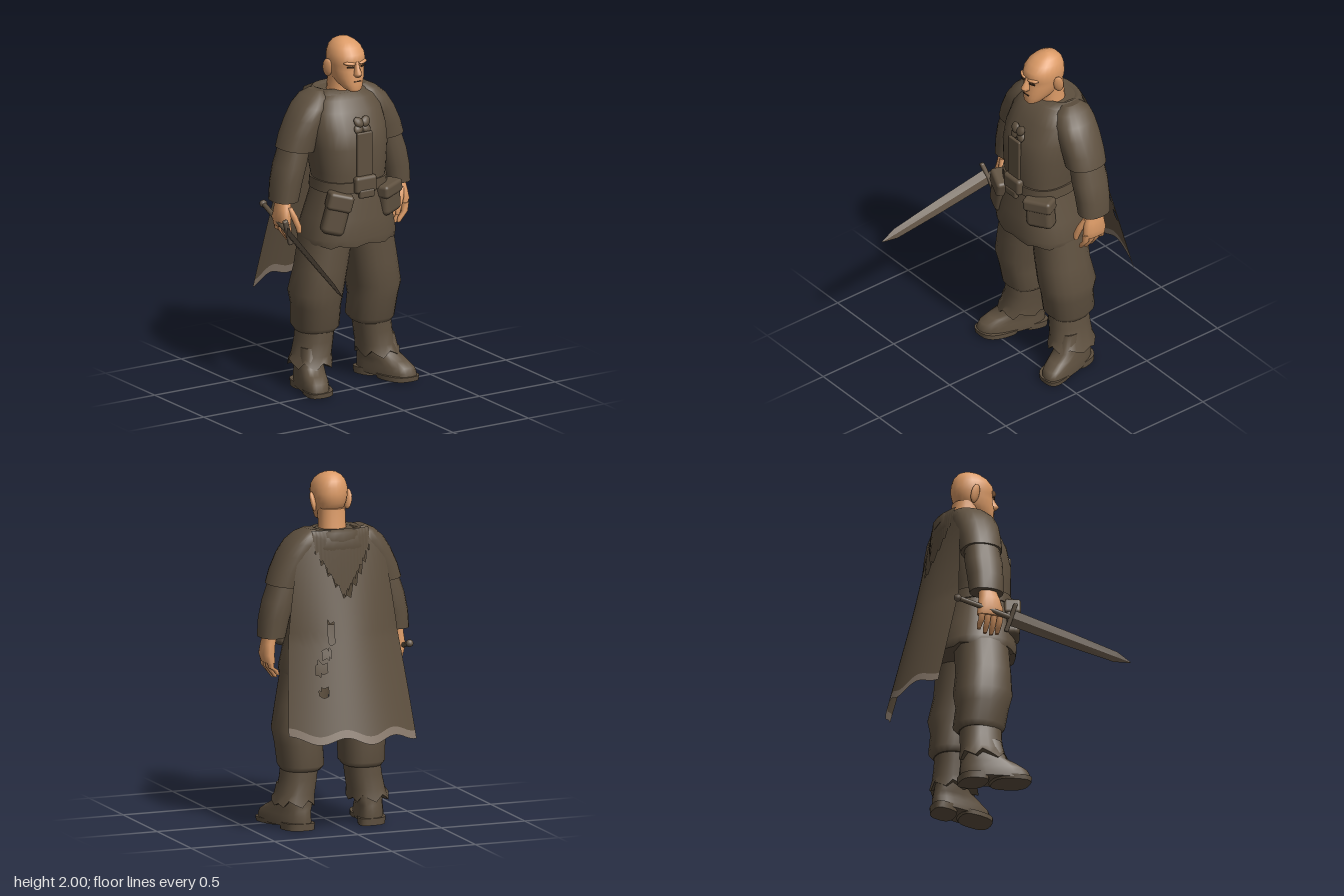
import * as THREE from 'three';
import { RoundedBoxGeometry } from 'three/addons/geometries/RoundedBoxGeometry.js';

const X0 = 0.03; // body centre line

const mat = (name, color) => {
  const m = new THREE.MeshStandardMaterial({ color });
  m.name = name;
  return m;
};

// Closed body from horizontal rings [y, centre x, half width, front z, back z], low to high.
// s places the centre on the left (+1) or right (-1) side of the body.
function loft(rings, { n = 20, p = 2.3, s = 1, skew = 0, tilt = 0, jag = 0, x0 = X0 } = {}) {
  const pos = [], idx = [];
  const ring = ([y, cx, rx, zf, zb], rag) => {
    const bow = v => Math.sign(v) * Math.abs(v) ** (2 / p);
    for (let j = 0; j < n; j++) {
      const a = (j / n) * Math.PI * 2;
      const dx = rx * bow(Math.cos(a)), dz = (zf - zb) / 2 * bow(Math.sin(a));
      pos.push(x0 + s * cx + dx + s * skew * dz, y + tilt * s * dx + (j % 3 - 1) * rag, (zf + zb) / 2 + dz);
    }
  };
  rings.forEach((r, i) => ring(r, i ? 0 : jag));
  for (let i = 0; i < rings.length - 1; i++) for (let j = 0; j < n; j++) {
    const a = i * n + j, b = i * n + (j + 1) % n;
    idx.push(a, a + n, b, b, a + n, b + n);
  }
  // end caps with their own corners
  [[rings[0], jag], [rings[rings.length - 1], 0]].forEach(([r, rag], top) => {
    const start = pos.length / 3;
    ring(r, rag);
    pos.push(x0 + s * r[1], r[0], (r[3] + r[4]) / 2);
    for (let j = 0; j < n; j++) {
      const a = start + j, b = start + (j + 1) % n;
      idx.push(start + n, ...(top ? [b, a] : [a, b]));
    }
  });
  return finish(pos, idx);
}

// Open cloth from fn(u, v) with u in -1..1 and v in 0..1; cells may be left out
function sheet(fn, nu, nv, hole = () => false) {
  const pos = [], idx = [];
  for (let i = 0; i <= nv; i++) for (let j = 0; j <= nu; j++) pos.push(...fn(j / nu * 2 - 1, i / nv));
  for (let i = 0; i < nv; i++) for (let j = 0; j < nu; j++) {
    const u = (j + 0.5) / nu * 2 - 1;
    if (hole(u, fn(u, (i + 0.5) / nv)[1])) continue;
    const a = i * (nu + 1) + j, b = a + nu + 1;
    idx.push(a, a + 1, b, b, a + 1, b + 1);
  }
  return finish(pos, idx);
}

function finish(pos, idx) {
  const g = new THREE.BufferGeometry();
  g.setAttribute('position', new THREE.Float32BufferAttribute(pos, 3));
  g.setIndex(idx);
  g.computeVertexNormals();
  return g;
}

export function createModel() {
  const cloth = mat('cloth', 0x5e503f), skin = mat('skin', 0xdb9a66);
  const trim = mat('hem', 0x87786a), steel = mat('steel', 0x665849), dark = mat('dark', 0x4a3424);
  cloth.side = trim.side = THREE.DoubleSide;
  const model = new THREE.Group();
  const add = (name, geo, m, at = [0, 0, 0], rot = [0, 0, 0], parent = model) => {
    const mesh = new THREE.Mesh(geo, m);
    mesh.name = name;
    mesh.position.set(...at);
    mesh.rotation.set(...rot);
    parent.add(mesh);
    return mesh;
  };

  // Tunic, belt and collar
  add('tunic', loft([
    [0.85, 0, 0.27, 0.08, -0.35], [0.89, 0, 0.278, 0.085, -0.36], [1.0, 0, 0.25, 0.08, -0.33],
    [1.16, 0, 0.205, 0.055, -0.29], [1.2, 0, 0.2, 0.055, -0.29], [1.26, 0, 0.21, 0.06, -0.3],
    [1.4, 0, 0.225, 0.06, -0.33], [1.5, 0, 0.23, 0.035, -0.35], [1.6, 0, 0.22, -0.015, -0.36],
    [1.66, 0, 0.185, -0.055, -0.355], [1.69, 0, 0.13, -0.1, -0.34]], { n: 32, p: 2.5, jag: 0.008 }), cloth);
  add('belt', loft([[1.155, 0, 0.215, 0.065, -0.3], [1.215, 0, 0.212, 0.065, -0.3]], { n: 32, p: 2.5 }), cloth);
  add('collar', loft([[1.64, 0, 0.18, -0.05, -0.36], [1.685, 0, 0.155, -0.09, -0.36],
    [1.705, 0, 0.13, -0.14, -0.345], [1.68, 0, 0.1, -0.12, -0.31]], { n: 24, jag: 0.006 }), cloth);
  add('chestStrap', new RoundedBoxGeometry(0.1, 0.28, 0.02, 2, 0.008), cloth, [0.025, 1.36, 0.06]);
  add('buckle', new RoundedBoxGeometry(0.14, 0.1, 0.05, 2, 0.02), cloth, [0.025, 1.2, 0.065]);
  add('buckleFlap', new RoundedBoxGeometry(0.1, 0.05, 0.03, 2, 0.012), cloth, [0.025, 1.15, 0.08]);
  for (let k = 0; k < 4; k++) {
    const a = Math.PI / 4 + k * Math.PI / 2;
    const lobe = add('claspLobe', new THREE.SphereGeometry(0.034, 10, 8), cloth,
      [0.025 + 0.032 * Math.cos(a), 1.535 + 0.027 * Math.sin(a), 0.035], [-0.45, 0, a]);
    lobe.scale.set(1, 0.8, 0.45);
  }

  // Belt pouches
  const pouch = (name, w, h, at, rot) => {
    const g = new THREE.Group();
    g.name = name;
    g.position.set(...at);
    g.rotation.set(...rot);
    model.add(g);
    add('pouchBody', new RoundedBoxGeometry(w, h, 0.09, 3, 0.03), cloth, [0, 0, 0], [0, 0, 0], g);
    add('pouchFlap', new RoundedBoxGeometry(w + 0.012, h * 0.42, 0.1, 3, 0.02), cloth, [0, h * 0.3, 0.003], [0, 0, 0], g);
  };
  pouch('leftPouch', 0.16, 0.18, [0.205, 1.085, 0.02], [0, 0.45, 0.08]);
  pouch('rightPouch', 0.13, 0.24, [-0.14, 1.045, 0.025], [0, -0.35, -0.26]);

  // Limbs, mirrored
  for (const s of [1, -1]) {
    const side = s > 0 ? 'left' : 'right';
    add(side + 'ShoulderSleeve', loft([
      [1.385, 0.295, 0.1, -0.09, -0.32], [1.46, 0.27, 0.102, -0.085, -0.325], [1.55, 0.225, 0.105, -0.08, -0.33],
      [1.62, 0.185, 0.1, -0.09, -0.33], [1.67, 0.155, 0.075, -0.12, -0.32], [1.7, 0.14, 0.035, -0.17, -0.28]],
      { s, tilt: 0.12 }), cloth);
    add(side + 'ForearmSleeve', loft([
      [1.1, 0.37, 0.074, -0.11, -0.3], [1.2, 0.355, 0.083, -0.105, -0.305], [1.3, 0.33, 0.086, -0.1, -0.31],
      [1.45, 0.285, 0.08, -0.11, -0.3]], { s, n: 16 }), cloth);
    add(side + 'Palm', loft([
      [0.955, 0.385, 0.03, -0.125, -0.265], [1.0, 0.392, 0.036, -0.115, -0.265],
      [1.06, 0.385, 0.036, -0.13, -0.255], [1.14, 0.37, 0.04, -0.16, -0.25]], { s, n: 14 }), skin);
    for (let f = 0; f < 4; f++) {
      const z = -0.132 - f * 0.036, low = 0.862 + [0.01, 0, 0.005, 0.025][f];
      add(side + 'Finger', loft([
        [low, 0.345, 0.01, z + 0.01, z - 0.01], [low + 0.025, 0.358, 0.016, z + 0.016, z - 0.016],
        [0.93, 0.385, 0.017, z + 0.018, z - 0.018], [0.98, 0.39, 0.02, z + 0.019, z - 0.019]], { s, n: 8 }), skin);
    }
    add(side + 'Thumb', loft([
      [0.925, 0.325, 0.012, -0.1, -0.125], [0.96, 0.33, 0.018, -0.095, -0.135],
      [1.02, 0.352, 0.02, -0.105, -0.15], [1.07, 0.37, 0.02, -0.13, -0.18]], { s, n: 8 }), skin);

    add(side + 'Trouser', loft([
      [0.33, 0.185, 0.105, -0.055, -0.29], [0.36, 0.182, 0.126, -0.03, -0.32], [0.48, 0.188, 0.13, -0.01, -0.305],
      [0.56, 0.19, 0.143, 0.01, -0.32], [0.7, 0.165, 0.142, 0.012, -0.295], [0.9, 0.13, 0.142, 0.01, -0.29]], { s }), cloth);
    add(side + 'Cuff', loft([
      [0.15, 0.222, 0.113, -0.025, -0.3], [0.2, 0.21, 0.102, -0.045, -0.29], [0.28, 0.195, 0.1, -0.05, -0.285],
      [0.37, 0.185, 0.1, -0.05, -0.285]], { s, jag: 0.02 }), cloth);
    add(side + 'Boot', loft([
      [0.02, 0.25, 0.083, 0.08, -0.295], [0.05, 0.25, 0.084, 0.08, -0.295], [0.08, 0.248, 0.08, 0.065, -0.295],
      [0.11, 0.24, 0.078, 0.015, -0.29], [0.14, 0.228, 0.08, -0.045, -0.285], [0.25, 0.215, 0.078, -0.07, -0.28]],
      { s, skew: 0.25, p: 2.6 }), cloth);
    add(side + 'Sole', loft([[0.008, 0.265, 0.085, 0.085, -0.12], [0.035, 0.265, 0.088, 0.088, -0.14]],
      { s, skew: 0.25, p: 2.8 }), cloth);
    add(side + 'Heel', loft([[0, 0.222, 0.08, -0.15, -0.3], [0.04, 0.222, 0.083, -0.15, -0.302]],
      { s, skew: 0.25, p: 2.8 }), cloth);

    // Ear and eye
    add(side + 'Ear', new THREE.SphereGeometry(0.05, 10, 8), skin, [X0 + s * 0.104, 1.835, -0.165], [0.15, s * -0.5, s * -0.15])
      .scale.set(0.3, 1.15, 0.6);
    add(side + 'Brow', new THREE.SphereGeometry(0.03, 10, 8), skin, [X0 + s * 0.043, 1.877, -0.033], [0, s * 0.4, s * 0.1])
      .scale.set(1.2, 0.35, 0.5);
    add(side + 'Eye', new THREE.BoxGeometry(0.036, 0.007, 0.008), dark, [X0 + s * 0.042, 1.857, -0.026], [0, s * 0.35, 0]);
  }

  // Head
  add('neck', loft([[1.62, 0, 0.09, -0.1, -0.28], [1.7, 0, 0.076, -0.12, -0.265], [1.8, 0, 0.076, -0.1, -0.258]]), skin);
  add('head', loft([
    [1.712, 0, 0.03, -0.025, -0.08], [1.725, 0, 0.05, -0.016, -0.12], [1.755, 0, 0.068, -0.018, -0.19],
    [1.79, 0, 0.084, -0.018, -0.235], [1.83, 0, 0.093, -0.026, -0.255], [1.86, 0, 0.097, -0.028, -0.262],
    [1.885, 0, 0.1, -0.02, -0.264], [1.92, 0, 0.097, -0.028, -0.26], [1.955, 0, 0.083, -0.055, -0.25],
    [1.98, 0, 0.06, -0.09, -0.23], [1.995, 0, 0.034, -0.13, -0.2], [2.0, 0, 0.01, -0.155, -0.175]], { n: 24, p: 2.2 }), skin);
  add('nose', loft([[1.798, 0, 0.014, -0.005, -0.05], [1.81, 0, 0.023, 0.01, -0.05],
    [1.822, 0, 0.02, 0.016, -0.05], [1.85, 0, 0.013, -0.004, -0.05], [1.885, 0, 0.012, -0.018, -0.05]], { n: 10 }), skin);
  add('mouth', new THREE.BoxGeometry(0.045, 0.004, 0.008), dark, [X0, 1.772, -0.018]);

  // Cape with a torn neckline, holes and a pale wavy hem
  const tooth = u => (Math.abs((u * 7 + 20) % 1 - 0.5) - 0.25) * 0.09;
  const capePoint = (u, y) => {
    const t = Math.max(0, (1.66 - y) / 1.11);
    const half = 0.2 + 0.18 * Math.sqrt(t);
    return [X0 + u * half, y, -0.335 - 0.275 * t + (0.02 + 0.1 * Math.min(1, t * 2)) * u * u];
  };
  const hemY = u => 0.55 + 0.02 * Math.sin(u * 8) + 0.012 * u;
  const topY = u => {
    const cut = Math.max(0, 1 - Math.abs(u) / 0.8);
    return 1.66 - 0.34 * cut + (cut ? tooth(u) : 0);
  };
  const holes = [[0.3, 0.4, 1.08, 1.2], [0.34, 0.5, 1.0, 1.06], [0.44, 0.6, 0.92, 0.98], [0.42, 0.57, 0.79, 0.84]];
  const torn = (u, y) => holes.some(([a, b, c, d]) => u > a && u < b && y > c && y < d);
  add('cape', sheet((u, v) => capePoint(u, THREE.MathUtils.lerp(topY(u), hemY(u) + 0.045, v)), 56, 36, torn), cloth);
  add('capeHem', sheet((u, v) => capePoint(u, hemY(u) + 0.045 * (1 - v)), 56, 2), trim);

  // Ragged cowl lying on the back
  add('cowl', sheet((u, v) => {
    const low = 1.6 - 0.28 * (1 - Math.abs(u)) + tooth(u * 1.2);
    return [X0 + u * 0.17, THREE.MathUtils.lerp(1.7, low, v), -0.345 - 0.025 * Math.sqrt(v) + 0.04 * u * u];
  }, 48, 8), cloth);

  // Sword, running from pommel to tip along its own y axis
  const pommel = new THREE.Vector3(-0.355, 1.04, -0.4), tip = new THREE.Vector3(-0.47, 0.76, 0.605);
  const along = tip.clone().sub(pommel), len = along.length();
  along.normalize();
  const flat = new THREE.Vector3(-0.35, 1, 0).cross(along).normalize();
  const edge = along.clone().cross(flat).normalize();
  const sword = new THREE.Group();
  sword.name = 'sword';
  sword.position.copy(pommel);
  sword.quaternion.setFromRotationMatrix(new THREE.Matrix4().makeBasis(edge, along, flat));
  model.add(sword);
  add('blade', loft([[0.34, 0, 0.045, 0.011, -0.011], [0.7, 0, 0.039, 0.01, -0.01], [len - 0.09, 0, 0.03, 0.007, -0.007],
    [len, 0, 0.003, 0.001, -0.001]], { n: 4, p: 2, x0: 0 }).toNonIndexed(), steel, [0, 0, 0], [0, 0, 0], sword)
    .geometry.computeVertexNormals();
  add('guard', new RoundedBoxGeometry(0.17, 0.025, 0.03, 2, 0.008), steel, [0, 0.335, 0], [0, 0, 0], sword);
  add('grip', new THREE.CylinderGeometry(0.016, 0.014, 0.31, 10), cloth, [0, 0.175, 0], [0, 0, 0], sword);
  add('pommel', new THREE.SphereGeometry(0.022, 10, 8), steel, [0, 0.018, 0], [0, 0, 0], sword);

  return model;
}
